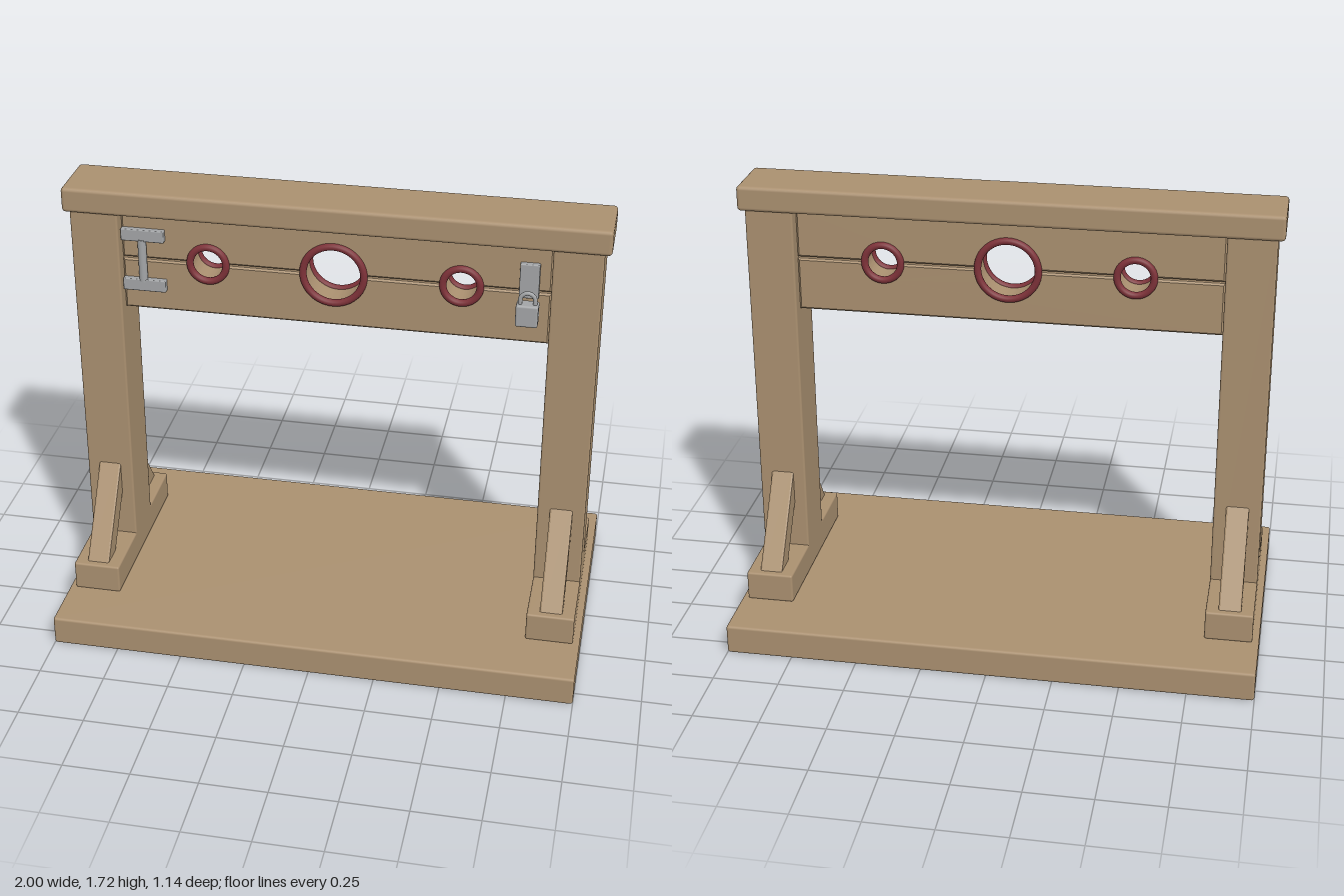
import * as THREE from 'three';
import { RoundedBoxGeometry } from 'three/addons/geometries/RoundedBoxGeometry.js';
import { toCreasedNormals } from 'three/addons/utils/BufferGeometryUtils.js';

const HOLES = [[-0.47, 0.066], [0, 0.111], [0.47, 0.066]]; // x, radius
const SEAM_Y = 1.43;
const BOARD_Z = 0.06; // half thickness of the boards

export function createModel() {
  const model = new THREE.Group();
  model.name = 'stocks';

  const material = (name, color) => {
    const m = new THREE.MeshStandardMaterial({ color });
    m.name = name;
    return m;
  };
  const wood = material('wood', 0xaa9070);
  const leather = material('red leather', 0x7e3239);
  const iron = material('iron', 0xa3a5a7);

  const add = (name, geometry, mat, parent = model) => {
    const mesh = new THREE.Mesh(geometry, mat);
    mesh.name = name;
    parent.add(mesh);
    return mesh;
  };
  // Box with softened edges, given by its limits
  const box = (name, [x0, x1], [y0, y1], [z0, z1], mat = wood, r = 0.01, parent = model) => {
    const g = new RoundedBoxGeometry(x1 - x0, y1 - y0, z1 - z0, 2, r);
    g.translate((x0 + x1) / 2, (y0 + y1) / 2, (z0 + z1) / 2);
    return add(name, g, mat, parent);
  };

  // Platform and top beam
  box('platform', [-1, 1], [0, 0.115], [-0.57, 0.57]);
  box('topBeam', [-1, 1], [1.62, 1.715], [-0.12, 0.12], wood, 0.014);

  // Diagonal brace: side profile in z and y, extruded across x
  const profile = new THREE.Shape([
    new THREE.Vector2(0.337, 0.22), new THREE.Vector2(0.091, 0.57),
    new THREE.Vector2(0.091, 0.43), new THREE.Vector2(0.237, 0.22),
  ]);
  const braceGeometry = new THREE.ExtrudeGeometry(profile, {
    depth: 0.073, bevelThickness: 0.006, bevelSize: 0.006, bevelOffset: -0.006, bevelSegments: 1,
  });
  braceGeometry.translate(0, 0, -0.0365).rotateY(-Math.PI / 2);

  // Posts with feet and braces
  for (const side of [-1, 1]) {
    const frame = new THREE.Group();
    frame.name = side > 0 ? 'leftPostFrame' : 'rightPostFrame';
    frame.position.x = side * 0.885;
    model.add(frame);
    box('post', [-0.09, 0.09], [0.115, 1.625], [-0.105, 0.105], wood, 0.008, frame);
    box('foot', [-0.09, 0.09], [0.115, 0.23], [-0.355, 0.355], wood, 0.008, frame);
    add('frontBrace', braceGeometry, wood, frame);
    add('backBrace', braceGeometry, wood, frame).rotation.y = Math.PI;
  }

  // Half board with half-round cutouts along its lower edge
  const boardGeometry = (height) => {
    const gap = 0.003, bevel = 0.007;
    const s = new THREE.Shape();
    s.moveTo(-0.795, gap);
    for (const [x, r] of HOLES) {
      const a = Math.asin(gap / r);
      s.lineTo(x - r * Math.cos(a), gap);
      s.absarc(x, 0, r, Math.PI - a, a, true);
    }
    s.lineTo(0.795, gap);
    s.lineTo(0.795, height);
    s.lineTo(-0.795, height);
    s.closePath();
    const g = new THREE.ExtrudeGeometry(s, {
      depth: 2 * (BOARD_Z - bevel), curveSegments: 24,
      bevelThickness: bevel, bevelSize: bevel, bevelOffset: -bevel, bevelSegments: 1,
    });
    g.translate(0, 0, bevel - BOARD_Z);
    return toCreasedNormals(g, 0.5);
  };
  add('upperBoard', boardGeometry(0.195), wood).position.y = SEAM_Y;
  const lower = add('lowerBoard', boardGeometry(0.205), wood);
  lower.position.y = SEAM_Y;
  lower.rotation.z = Math.PI;

  // Padded rings around the holes, front and back
  for (const [x, r] of HOLES) {
    for (const z of [-BOARD_Z, BOARD_Z]) {
      const ring = add('holeRing', new THREE.TorusGeometry(r + 0.002, 0.0135, 12, 48), leather);
      ring.position.set(x, SEAM_Y, z);
    }
  }

  // Hinge
  box('upperHingeLeaf', [-0.793, -0.63], [1.508, 1.555], [0.05, 0.082], iron, 0.004);
  box('lowerHingeLeaf', [-0.793, -0.63], [1.307, 1.354], [0.05, 0.082], iron, 0.004);
  const pin = add('hingePin', new THREE.CylinderGeometry(0.016, 0.016, 0.17, 16), iron);
  pin.position.set(-0.716, SEAM_Y, 0.07);

  // Hasp and padlock
  box('hasp', [0.679, 0.75], [1.412, 1.546], [0.05, 0.08], iron, 0.004);
  box('padlockBody', [0.674, 0.755], [1.32, 1.405], [0.075, 0.13], iron, 0.008);
  const shackle = add('padlockShackle', new THREE.TorusGeometry(0.027, 0.008, 10, 24, Math.PI), iron);
  shackle.position.set(0.7145, 1.42, 0.108);
  for (const dx of [-0.027, 0.027]) {
    const leg = add('shackleLeg', new THREE.CylinderGeometry(0.008, 0.008, 0.03, 10), iron);
    leg.position.set(0.7145 + dx, 1.406, 0.108);
  }

  return model;
}
